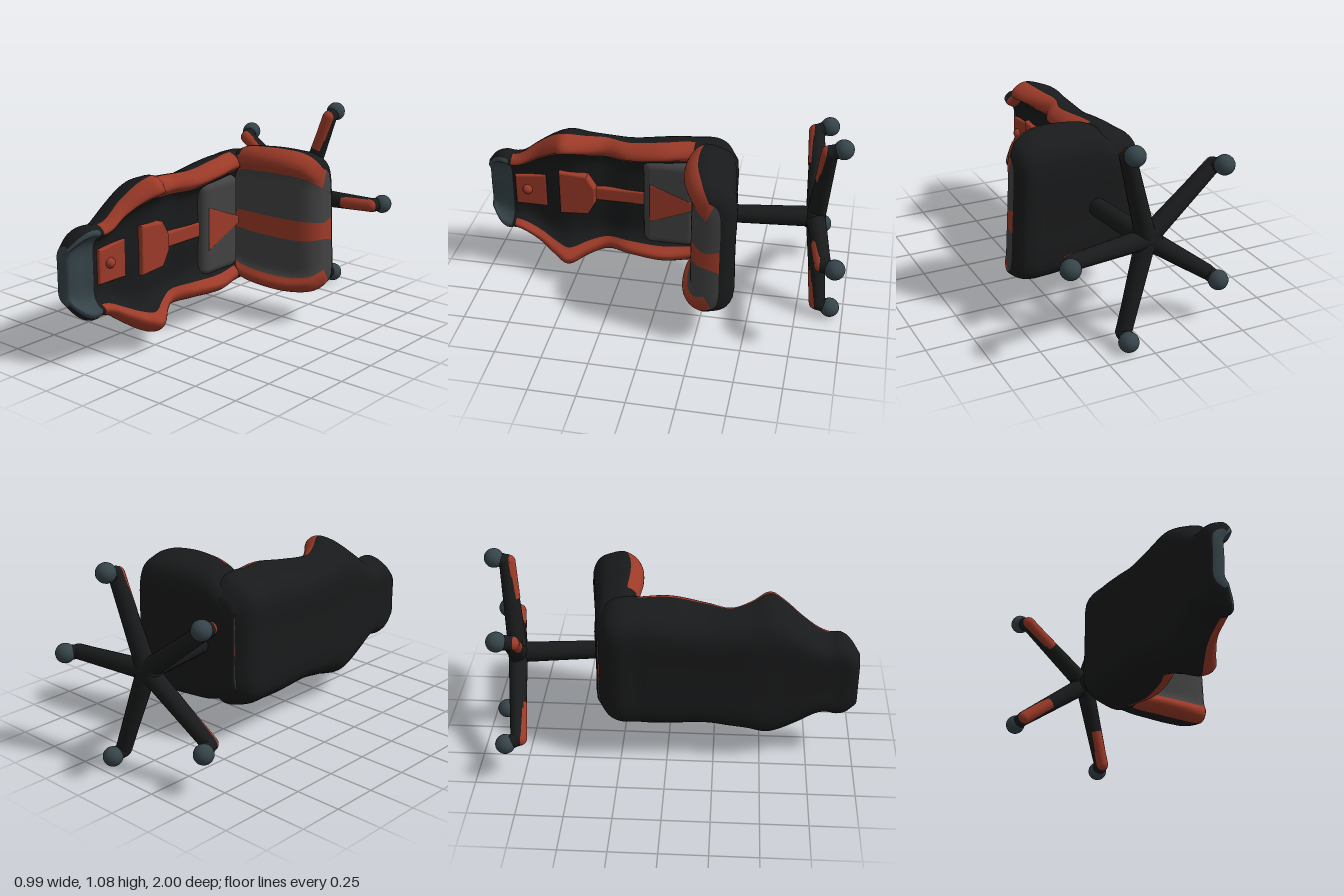
import * as THREE from 'three';
import { RoundedBoxGeometry } from 'three/addons/geometries/RoundedBoxGeometry.js';

const mat = (color) => new THREE.MeshStandardMaterial({ color, side: THREE.DoubleSide });
const M = { dark: mat(0x191a1b), red: mat(0x9c3a28), grey: mat(0x424242), slate: mat(0x36444a) };

function add(parent, name, geometry, material, pos) {
  const mesh = new THREE.Mesh(geometry, material);
  mesh.name = name;
  if (pos) mesh.position.set(...pos);
  parent.add(mesh);
  return mesh;
}

// Half sections of a bolstered cushion: [width fraction, height fraction, share of the centre height]
const BACK_HALF = [[0, 0, 1], [0.14, 0, 1], [0.42, 0.6, 0.85], [0.6, 0.75, 0.6], [0.73, 0.92, 0.35], [0.82, 1, 0],
  [0.92, 0.95, 0], [1, 0.74, 0], [0.95, 0.46, 0], [0.84, 0.17, 0], [0.66, 0.01, 0], [0.25, 0, 0], [0, 0, 0]];
const SEAT_HALF = [[0, 0, 1], [0.14, 0, 1], [0.45, 0, 1], [0.62, 0, 1], [0.72, 0.95, 0.5], [0.82, 1, 0],
  [0.92, 0.95, 0], [1, 0.74, 0], [0.975, 0.45, 0], [0.9, 0.16, 0], [0.73, 0.01, 0], [0.2, 0, 0], [0, 0, 0]];
const SUB = 3;

// Sweeps a section along rows of [along, halfWidth, base, centre, bolster];
// place() turns (side, height, along) into a point, pick() chooses the material of each strip.
function cushion(name, half, rows, steps, place, flip, pick) {
  const group = new THREE.Group();
  group.name = name;
  const spline = new THREE.CubicInterpolant(
    rows.map((r) => r[0]), rows.flatMap((r) => r.slice(1)), 4, new Float32Array(4));
  const first = rows[0][0], last = rows[rows.length - 1][0];
  const loop = (half.length - 1) * 2, n = loop * SUB;
  const pos = [], index = {};
  const quad = (key, a, b, c, d, turn) =>
    (index[key] ??= []).push(...(turn ? [a, c, b, a, d, c] : [a, b, c, a, c, d]));
  for (let i = 0; i <= steps; i++) {
    const v = first + (last - first) * i / steps;
    const [w, b, c, s] = spline.evaluate(v);
    const pts = [];
    for (let k = 0; k < loop; k++) {
      const [u, t, m] = half[k < half.length ? k : loop - k];
      const side = k < half.length ? 1 : -1;
      pts.push(new THREE.Vector3(side * u * w, (1 - m) * (b + t * (s - b)) + m * c, 0));
    }
    const curve = new THREE.CatmullRomCurve3(pts, true);
    for (let j = 0; j < n; j++) {
      const p = curve.getPoint(j / n);
      pos.push(...place(p.x, p.y, v));
    }
  }
  for (let i = 0; i < steps; i++) {
    const v = first + (last - first) * (i + 0.5) / steps;
    for (let j = 0; j < n; j++) {
      const q = (j + 0.5) / SUB;
      const a = i * n + j, b = i * n + (j + 1) % n;
      quad(pick(Math.floor(q > loop / 2 ? loop - q : q), v), a, b, b + n, a + n, flip);
    }
  }
  // End caps, in strips that carry the colours on from front to back
  for (const end of [0, 1]) {
    const o = end * steps * n;
    for (let j = 0; j < n / 4; j++) {
      const key = pick(Math.floor((j + 0.5) / SUB), end ? last : first);
      const strip = [j, j + 1, n / 2 - j - 1, n / 2 - j];
      quad(key, ...strip.map((k) => o + k), flip === !!end);
      quad(key, ...strip.map((k) => o + (n - k) % n), flip !== !!end);
    }
  }
  const base = new THREE.BufferGeometry();
  base.setAttribute('position', new THREE.Float32BufferAttribute(pos, 3));
  base.setIndex(Object.values(index).flat());
  base.computeVertexNormals();
  for (const key in index) {
    const g = new THREE.BufferGeometry();
    g.setAttribute('position', base.attributes.position);
    g.setAttribute('normal', base.attributes.normal);
    g.setIndex(index[key]);
    add(group, `${name} ${key} covering`, g, M[key]);
  }
  return group;
}

// Flat padded panel from an outline
function panel(parent, name, pts, z, depth) {
  const shape = new THREE.Shape(pts.map((p) => new THREE.Vector2(...p)));
  const g = new THREE.ExtrudeGeometry(shape,
    { depth, bevelSize: 0.01, bevelThickness: 0.01, bevelSegments: 3 });
  add(parent, name, g, M.red, [0, 0, z]);
}

// Tapered round bar with a ball end
function limb(parent, name, a, b, ra, rb, material) {
  const d = b.clone().sub(a);
  const mesh = add(parent, name, new THREE.CylinderGeometry(rb, ra, d.length(), 18), material);
  mesh.position.copy(a).addScaledVector(d, 0.5);
  mesh.quaternion.setFromUnitVectors(new THREE.Vector3(0, 1, 0), d.normalize());
  add(parent, name + ' end', new THREE.SphereGeometry(rb, 18, 12), material, b.toArray());
}

export function createModel() {
  const model = new THREE.Group();
  model.name = 'reclined gaming chair';
  // Chair is built upright (x side, y up, z forward), then laid over
  const chair = new THREE.Group();
  chair.name = 'chair';
  model.add(chair);

  // Backrest with side bolsters, shoulder wings and headrest
  const lean = (h) => -0.005 - 0.045 * h;
  const back = [
    [-0.375, 0.26, -0.18, -0.06, -0.03], [-0.31, 0.34, -0.25, -0.04, 0], [-0.13, 0.37, -0.255, -0.04, 0.02],
    [0, 0.37, -0.25, -0.04, 0.05], [0.2, 0.35, -0.24, -0.04, 0.03], [0.33, 0.355, -0.235, -0.055, -0.02],
    [0.43, 0.378, -0.23, -0.04, 0.03], [0.53, 0.412, -0.22, -0.025, 0.095], [0.6, 0.385, -0.21, -0.03, 0.06],
    [0.7, 0.315, -0.2, -0.05, 0.015], [0.8, 0.245, -0.19, -0.06, 0.01], [0.85, 0.235, -0.185, -0.06, 0],
    [0.9, 0.245, -0.18, -0.08, -0.01], [0.95, 0.22, -0.18, -0.09, -0.04], [1, 0.155, -0.17, -0.11, -0.09]];
  chair.add(cushion('backrest', BACK_HALF, back, 70, (l, u, h) => [l + lean(h), h, u], false, (k, h) => {
    if (h > 0.84) return k < 6 && h > 0.87 ? 'slate' : 'dark';
    return k >= 4 && k <= 6 && h > -0.15 ? 'red' : 'dark';
  }));

  // Seat cushion, slightly skewed at its front edge, with the stripe a little off its middle
  const seat = [
    [-0.2, 0.25, -0.365, -0.22, -0.2], [-0.1, 0.315, -0.385, -0.2, -0.17], [0, 0.37, -0.39, -0.2, -0.16],
    [0.15, 0.39, -0.41, -0.19, -0.145], [0.3, 0.393, -0.43, -0.2, -0.16], [0.4, 0.378, -0.44, -0.225, -0.2],
    [0.45, 0.35, -0.42, -0.26, -0.24], [0.478, 0.31, -0.375, -0.305, -0.295]];
  const shift = (l) => 0.03 - 0.035 * Math.max(0, 1 - (l / 0.39) ** 2);
  chair.add(cushion('seat', SEAT_HALF, seat, 40,
    (l, u, f) => [l + shift(l), u, f - 0.1 * l * Math.max(f, 0)], true, (k, f) => {
      if (k > 6 || (k === 6 && f < 0)) return 'dark';
      return k === 0 || k >= 4 ? 'red' : 'grey';
    }));

  // Lumbar pillow with a tapering stripe
  add(chair, 'lumbar pillow', new RoundedBoxGeometry(0.52, 0.29, 0.1, 5, 0.045), M.grey, [-0.005, -0.03, -0.045]);
  panel(chair, 'pillow stripe', [[-0.015, -0.16], [0.015, -0.16], [0.11, 0.07], [-0.11, 0.07]], -0.012, 0.01);

  // Red panels down the middle of the backrest
  panel(chair, 'back stripe', [[-0.03, 0.1], [0.03, 0.1], [0.03, 0.41], [-0.03, 0.41]], -0.06, 0.02);
  panel(chair, 'back panel',
    [[-0.04, 0.39], [0.04, 0.39], [0.11, 0.43], [0.12, 0.57], [-0.12, 0.57], [-0.11, 0.43]], -0.05, 0.04);
  panel(chair, 'neck panel', [[-0.11, 0.67], [0.07, 0.67], [0.05, 0.83], [-0.11, 0.83]], -0.075, 0.025);
  add(chair, 'neck button', new THREE.SphereGeometry(0.028, 18, 12), M.red, [-0.02, 0.77, -0.04]);

  // Tilted post and hub
  const V = (l, h, f) => new THREE.Vector3(l, h, f);
  const hub = V(0, -0.812, -0.035);
  limb(chair, 'post', V(0, -0.36, 0.02), hub, 0.048, 0.055, M.dark);
  const boss = add(chair, 'hub', new THREE.SphereGeometry(0.09, 24, 16), M.dark, [0, -0.81, -0.035]);
  boss.scale.y = 0.6;

  // Five legs: end point, then caster centre
  const legs = [
    [V(0.3, -0.77, -0.42), V(0.32, -0.835, -0.445)], [V(-0.29, -0.77, -0.42), V(-0.31, -0.835, -0.445)],
    [V(-0.46, -0.865, 0.105), V(-0.477, -0.93, 0.11)], [V(0.475, -0.865, 0.105), V(0.497, -0.93, 0.1)],
    [V(0, -0.885, 0.4), V(0, -0.945, 0.43)]];
  for (const [end, wheel] of legs) {
    const leg = new THREE.Group();
    leg.name = 'leg';
    chair.add(leg);
    limb(leg, 'leg bar', hub, end, 0.052, 0.04, M.dark);
    const up = V(0, 0.01, 0);
    limb(leg, 'leg cover', hub.clone().lerp(end, 0.6).add(up), end.clone().add(up), 0.038, 0.037, M.red);
    limb(leg, 'caster stem', end, wheel, 0.038, 0.038, M.dark);
    add(leg, 'caster', new THREE.SphereGeometry(0.052, 20, 14), M.slate, wheel.toArray());
  }

  // Lay the chair over: side -> y, up -> z, forward -> x
  chair.quaternion.setFromRotationMatrix(
    new THREE.Matrix4().makeBasis(V(0, 1, 0), V(0, 0, 1), V(1, 0, 0)));
  chair.position.y = 0.53;
  return model;
}
